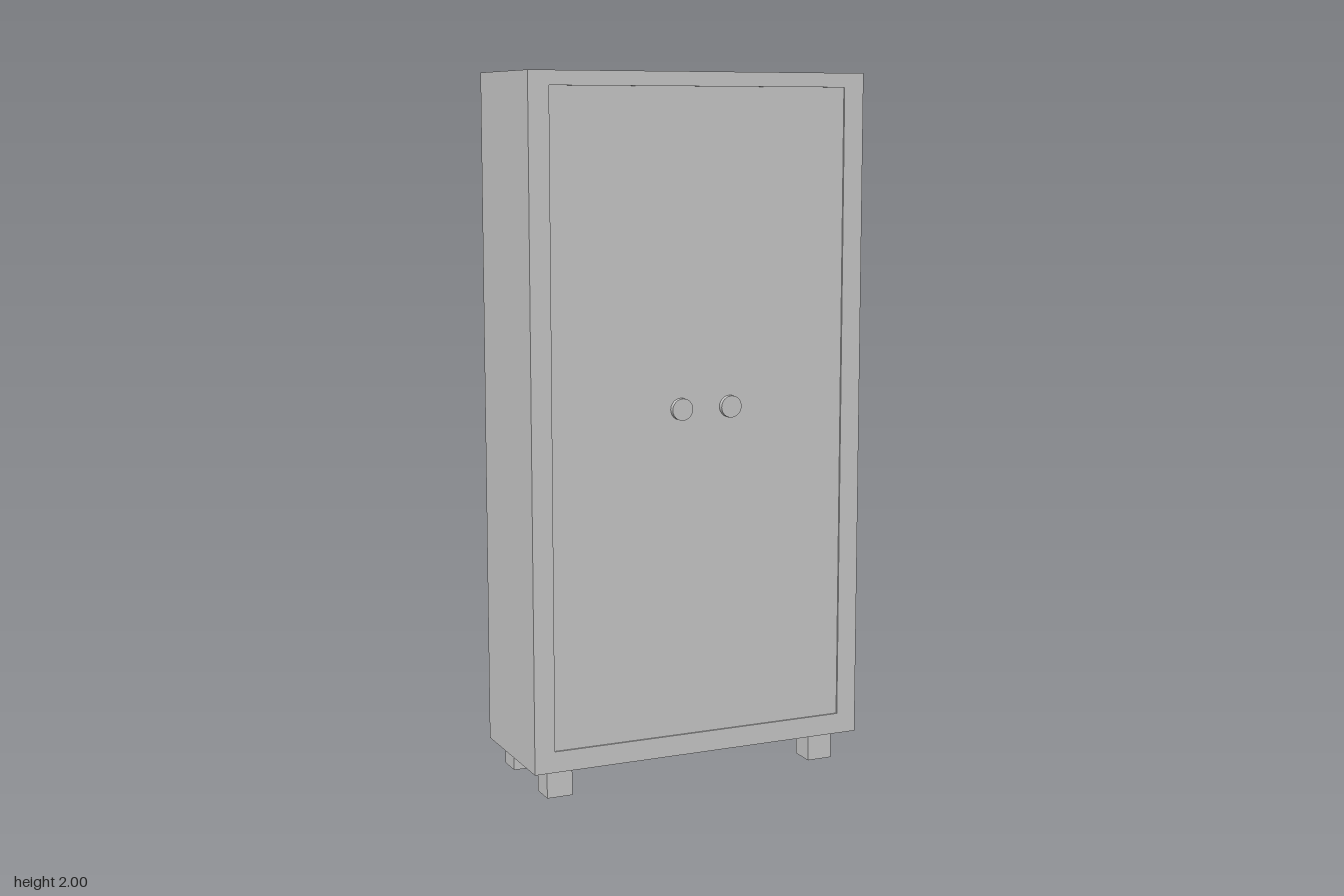
import * as THREE from 'three';

const material = new THREE.MeshStandardMaterial({ color: 0xcccccc });

function add(parent, name, geometry, x, y, z) {
  const mesh = new THREE.Mesh(geometry, material);
  mesh.name = name;
  mesh.position.set(x, y, z);
  parent.add(mesh);
  return mesh;
}

function rectangle(path, x0, y0, x1, y1) {
  path.moveTo(x0, y0);
  path.lineTo(x1, y0);
  path.lineTo(x1, y1);
  path.lineTo(x0, y1);
  path.closePath();
  return path;
}

export function createModel() {
  const cabinet = new THREE.Group();
  cabinet.name = 'cabinet';

  // Carcass: four walls around one rectangular opening
  const back = -0.195, front = 0.185;
  const outline = rectangle(new THREE.Shape(), -0.505, 0.075, 0.505, 2);
  outline.holes.push(rectangle(new THREE.Path(), -0.445, 0.135, 0.445, 1.96));
  const frame = new THREE.ExtrudeGeometry(outline, { depth: front - back, bevelEnabled: false });
  add(cabinet, 'carcass', frame, 0, 0, back);

  // Door and back panel, each set slightly into the opening
  const panel = new THREE.BoxGeometry(0.89, 1.825, 0.02);
  add(cabinet, 'doorPanel', panel, 0, 1.0475, front - 0.005 - 0.01);
  add(cabinet, 'backPanel', panel, 0, 1.0475, back + 0.015 + 0.01);

  // Round door knobs
  const knob = new THREE.CylinderGeometry(0.031, 0.031, 0.015, 24).rotateX(Math.PI / 2);
  add(cabinet, 'rightKnob', knob, -0.06, 1.073, 0.1875);
  add(cabinet, 'leftKnob', knob, 0.09, 1.073, 0.1875);

  // Four square feet
  const foot = new THREE.BoxGeometry(0.075, 0.075, 0.075);
  for (const [side, x] of [['Right', -0.428], ['Left', 0.393]]) {
    add(cabinet, `front${side}Foot`, foot, x, 0.0375, 0.137);
    add(cabinet, `back${side}Foot`, foot, x, 0.0375, -0.135);
  }

  return cabinet;
}
